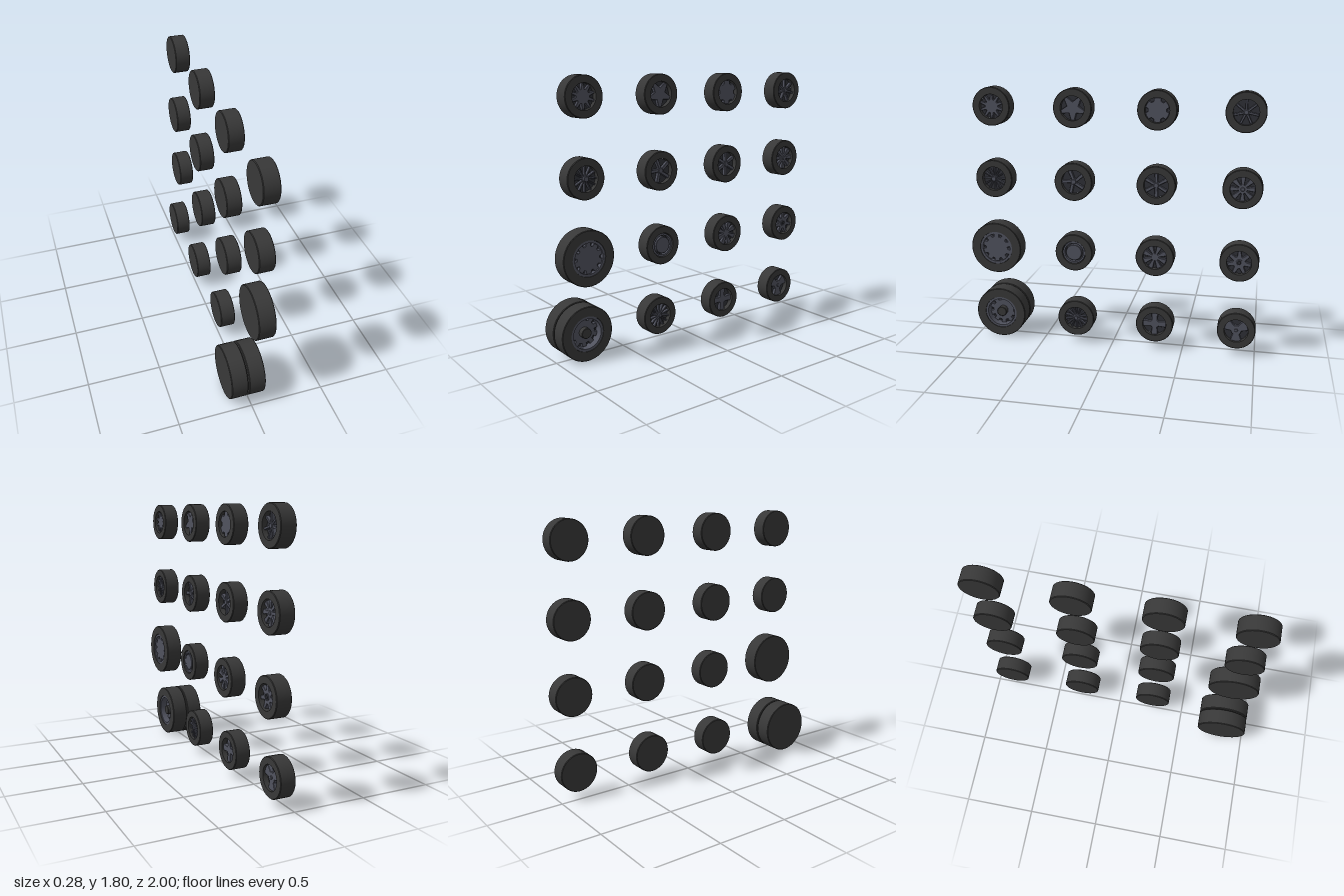
import * as THREE from 'three';
import { toCreasedNormals } from 'three/addons/utils/BufferGeometryUtils.js';

const rubber = new THREE.MeshStandardMaterial({ name: 'rubber', color: 0x383838 });
const alloy = new THREE.MeshStandardMaterial({ name: 'alloy grey', color: 0x50525e });
const shade = new THREE.MeshStandardMaterial({ name: 'recess grey', color: 0x2f3036 });

const rad = THREE.MathUtils.degToRad;

function add(parent, name, geometry, material, z = 0) {
  const mesh = new THREE.Mesh(geometry, material);
  mesh.name = name;
  mesh.position.z = z;
  parent.add(mesh);
  return mesh;
}

// Solid of revolution about z from [radius, z] pairs, running from back to front
function turned(points, segments = 48) {
  const g = new THREE.LatheGeometry(points.map(([r, z]) => new THREE.Vector2(r, z)), segments);
  g.rotateX(Math.PI / 2);
  return toCreasedNormals(g.toNonIndexed(), 0.6);
}

// Flat disc with radiating spokes; root and tip are half angles in degrees
function spokeFace({ n, r0, r1, root, tip, rot = 90, twist = 0 }, depth) {
  const pts = [];
  const push = (r, a) => pts.push(new THREE.Vector2(r * Math.cos(rad(a)), r * Math.sin(rad(a))));
  for (let i = 0; i < n; i++) {
    const a = rot + (i * 360) / n;
    push(r0, a - root);
    for (let k = 0; k <= 4; k++) push(r1, a + twist + tip * (k / 2 - 1));
    push(r0, a + root);
    const gap = 360 / n - 2 * root;
    if (gap > 1) for (let k = 1; k < 3; k++) push(r0, a + root + (gap * k) / 3);
  }
  const bevel = 0.002;
  const g = new THREE.ExtrudeGeometry(new THREE.Shape(pts), {
    depth: depth - bevel, bevelEnabled: true, bevelSize: bevel, bevelOffset: -bevel,
    bevelThickness: bevel, bevelSegments: 1,
  });
  return g;
}

// Tyre with closed back and a recessed opening on the front
function tyre(parent, R, r, w, recess) {
  const c = 0.004;
  add(parent, 'tyre', turned([
    [0, 0], [R - c, 0], [R, c], [R, w - c], [R - c, w], [r, w], [r, w - recess],
  ], 56), rubber);
  add(parent, 'rimFloor', new THREE.CircleGeometry(r, 48), shade, w - recess);
}

function cap(parent, r, z0, z1, material = alloy, name = 'hubCap') {
  const b = Math.min(0.003, r * 0.3);
  add(parent, name, turned([[r, z0], [r, z1 - b], [r - b, z1], [0, z1]], 28), material);
}

function ring(parent, name, r0, r1, z0, z1, material = alloy) {
  add(parent, name, turned([[r1, z0], [r1, z1], [r0, z1], [r0, z0]]), material);
}

// Small wheel: outer radius 0.13, width 0.104
function smallWheel(style) {
  const wheel = new THREE.Group();
  const w = 0.104, recess = 0.035, floor = w - recess;
  tyre(wheel, 0.13, 0.082, w, recess);
  if (style.spokes) add(wheel, 'spokes', spokeFace(style.spokes, 0.022), alloy, floor);
  if (style.cap) cap(wheel, style.cap, floor, w + (style.capOut ?? -0.008));
  if (style.boss) cap(wheel, style.boss, floor, w - 0.006, shade, 'hubBolt');
  if (style.ring) ring(wheel, 'rimRing', ...style.ring, floor, w - 0.008);
  return wheel;
}

// Large wheel with a full cover and notched edge
function coveredLargeWheel() {
  const wheel = new THREE.Group();
  const w = 0.115;
  tyre(wheel, 0.18, 0.117, w, 0.035);
  ring(wheel, 'rimRing', 0.1, 0.116, w - 0.035, w - 0.004);
  add(wheel, 'cover', spokeFace({ n: 10, r0: 0.08, r1: 0.1, root: 14, tip: 10 }, 0.024), alloy, w - 0.035);
  return wheel;
}

// Twin large wheels with a deep dished rim and a protruding hub
function twinLargeWheel() {
  const pair = new THREE.Group();
  const w = 0.112;
  for (const [i, z] of [0, 0.12].entries()) {
    const wheel = new THREE.Group();
    wheel.name = i ? 'outerWheel' : 'innerWheel';
    wheel.position.z = z;
    pair.add(wheel);
    tyre(wheel, 0.181, 0.117, w, 0.07);
    ring(wheel, 'rimRing', 0.1, 0.116, w - 0.07, w - 0.004);
    add(wheel, 'dish', spokeFace({ n: 10, r0: 0.078, r1: 0.1, root: 12, tip: 10 }, 0.02), alloy, w - 0.07);
    cap(wheel, 0.035, w - 0.06, w - 0.012, rubber, 'axleHub');
  }
  return pair;
}

// Rim styles by row (top to bottom) and column (front to back)
const styles = [
  [
    { spokes: { n: 10, r0: 0.045, r1: 0.08, root: 14, tip: 5 } },
    { spokes: { n: 5, r0: 0.042, r1: 0.081, root: 35, tip: 8, rot: 126 } },
    { spokes: { n: 6, r0: 0.062, r1: 0.08, root: 22, tip: 17 } },
    { spokes: { n: 7, r0: 0.02, r1: 0.081, root: 22, tip: 5 }, cap: 0.016 },
  ],
  [
    { spokes: { n: 12, r0: 0.022, r1: 0.08, root: 10, tip: 3.5 }, cap: 0.018, capOut: 0.004 },
    { spokes: { n: 5, r0: 0.022, r1: 0.081, root: 28, tip: 8, rot: 100, twist: 10 }, cap: 0.018 },
    { spokes: { n: 6, r0: 0.022, r1: 0.081, root: 25, tip: 8 }, cap: 0.018 },
    { spokes: { n: 8, r0: 0.03, r1: 0.081, root: 17, tip: 12 }, cap: 0.014 },
  ],
  [
    null,
    { cap: 0.056, capOut: -0.004, ring: [0.066, 0.078] },
    { spokes: { n: 8, r0: 0.026, r1: 0.081, root: 18, tip: 13, rot: 112.5 } },
    { spokes: { n: 7, r0: 0.042, r1: 0.08, root: 20, tip: 8 }, ring: [0.016, 0.022], boss: 0.013 },
  ],
  [
    null,
    { spokes: { n: 14, r0: 0.025, r1: 0.081, root: 8, tip: 4 }, cap: 0.014, capOut: 0 },
    { spokes: { n: 4, r0: 0.032, r1: 0.081, root: 34, tip: 16 } },
    { spokes: { n: 3, r0: 0.036, r1: 0.081, root: 38, tip: 27, rot: -90 }, cap: 0.012 },
  ],
];

export function createModel() {
  const model = new THREE.Group();
  model.name = 'wheelSet';
  const rowsY = [1.675, 1.18, 0.685, 0.185];
  const rowsX = [0.017, 0.017, 0.029, -0.006];
  const colsZ = [0.82, 0.257, -0.306, -0.87];
  rowsY.forEach((y, r) => colsZ.forEach((z, c) => {
    const large = styles[r][c] === null;
    const wheel = !large ? smallWheel(styles[r][c]) : r === 2 ? coveredLargeWheel() : twinLargeWheel();
    wheel.name = large ? (r === 2 ? 'largeWheel' : 'twinWheel') : `wheelRow${r + 1}Column${c + 1}`;
    const x = large ? (r === 2 ? 0.021 : -0.14) : rowsX[r];
    wheel.position.set(x, large && r === 3 ? 0.181 : y, z);
    wheel.rotation.y = Math.PI / 2;
    model.add(wheel);
  }));
  return model;
}
